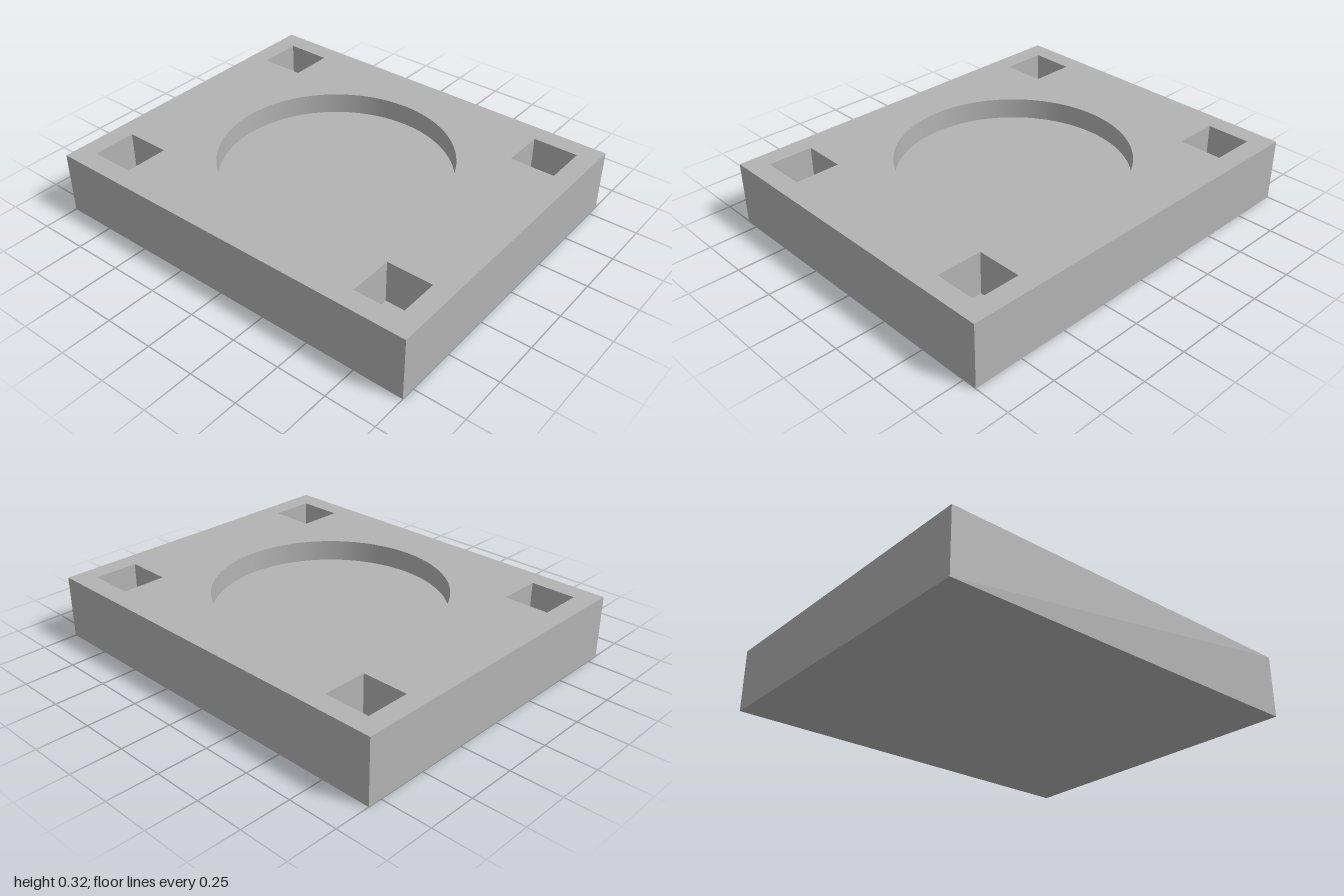
import * as THREE from 'three';

const W = 1, D = 0.82, H = 0.32;          // half width, half depth, height
const R = 0.573, BOWL_FLOOR = 0.213;      // round recess
const PX = 0.785, PZ = 0.607;             // pocket centres
const PW = 0.115, PD = 0.112, POCKET_FLOOR = 0.107;

const rect = (cx, cy, w, d) => [[-w, -d], [w, -d], [w, d], [-w, d]]
  .map(([x, y]) => new THREE.Vector2(cx + x, cy + y));

// Horizontal face at height y, facing up or down
function cap(shape, y, up = true) {
  const g = new THREE.ShapeGeometry(shape, 48);
  g.rotateX(up ? -Math.PI / 2 : Math.PI / 2);
  return g.translate(0, y, 0);
}

// Vertical walls along a closed outline; reversed outlines face inward
function walls(points, y0, y1) {
  const pos = [];
  points.forEach((a, i) => {
    const b = points[(i + 1) % points.length];
    pos.push(a.x, y0, -a.y, b.x, y0, -b.y, b.x, y1, -b.y);
    pos.push(a.x, y0, -a.y, b.x, y1, -b.y, a.x, y1, -a.y);
  });
  const g = new THREE.BufferGeometry();
  g.setAttribute('position', new THREE.Float32BufferAttribute(pos, 3));
  g.computeVertexNormals();
  return g;
}

export function createModel() {
  const model = new THREE.Group();
  model.name = 'recessedBlock';
  const grey = new THREE.MeshStandardMaterial({ color: 0xb3b3b3 });
  grey.name = 'plain grey';
  const add = (name, geometry) => {
    const mesh = new THREE.Mesh(geometry, grey);
    mesh.name = name;
    model.add(mesh);
  };

  // Outer block
  const outline = rect(0, 0, W, D);
  const top = new THREE.Shape(outline);
  top.holes.push(new THREE.Path().absarc(0, 0, R, 0, Math.PI * 2, true));
  add('outerWalls', walls(outline, 0, H));
  add('underside', cap(new THREE.Shape(outline), 0, false));

  // Square corner pockets
  for (const sx of [-1, 1]) for (const sz of [-1, 1]) {
    const square = rect(sx * PX, sz * PZ, PW, PD);
    const inward = [...square].reverse();
    top.holes.push(new THREE.Path(inward));
    add('pocketWalls', walls(inward, POCKET_FLOOR, H));
    add('pocketFloor', cap(new THREE.Shape(square), POCKET_FLOOR));
  }
  add('topFace', cap(top, H));

  // Round recess, profile running downward so it faces inward
  add('recessWall', new THREE.LatheGeometry(
    [new THREE.Vector2(R, H), new THREE.Vector2(R, BOWL_FLOOR)], 96));
  const disc = new THREE.CircleGeometry(R, 96).rotateX(-Math.PI / 2);
  add('recessFloor', disc.translate(0, BOWL_FLOOR, 0));

  return model;
}
